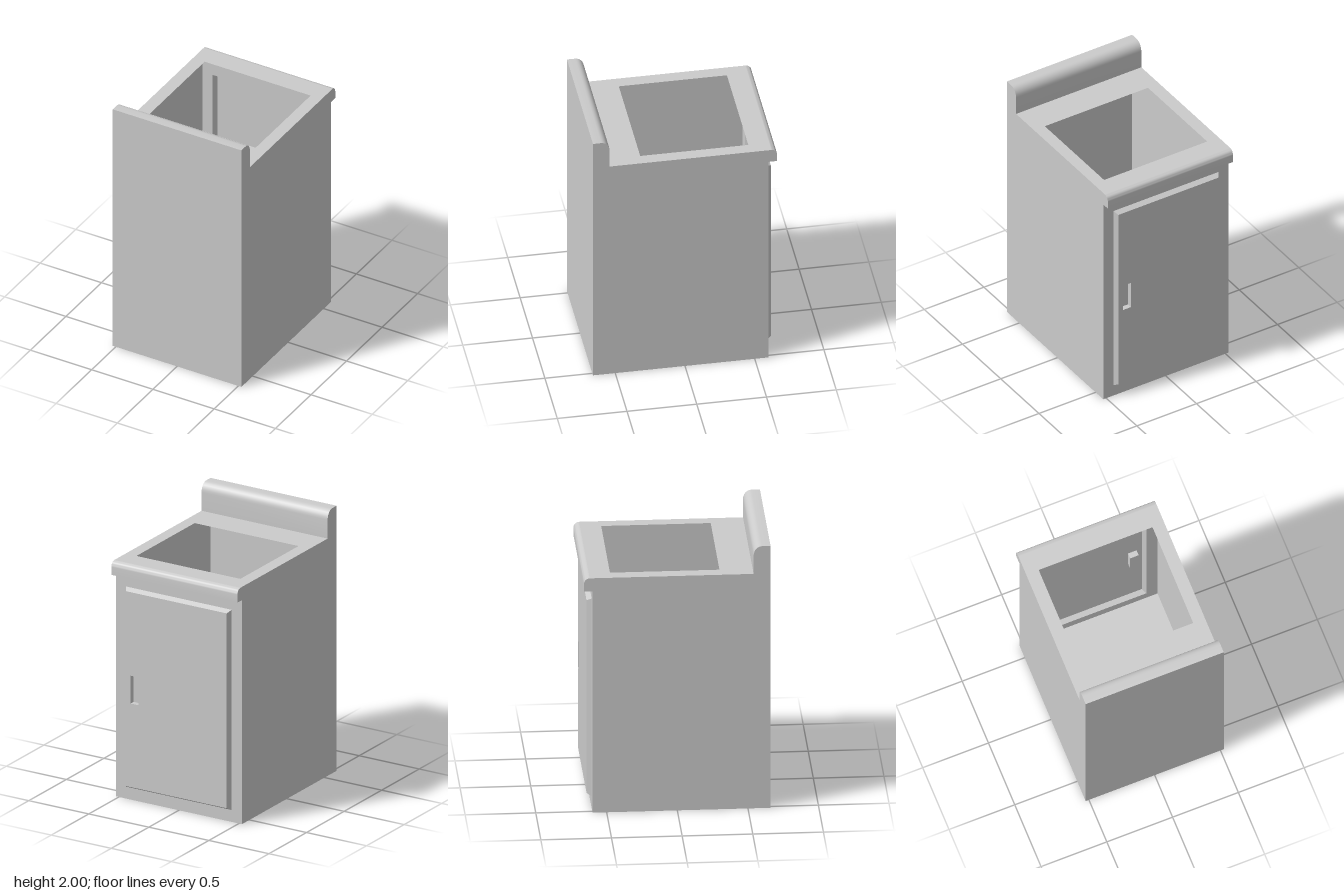
import * as THREE from 'three';
import { toCreasedNormals } from 'three/addons/utils/BufferGeometryUtils.js';

const W = 0.525; // half width

export function createModel() {
  const root = new THREE.Group();
  root.name = 'sinkCabinet';
  const mat = new THREE.MeshStandardMaterial({ color: 0xcccccc, side: THREE.DoubleSide });

  const add = (name, geo, parent = root) => {
    const mesh = new THREE.Mesh(geo, mat);
    mesh.name = name;
    parent.add(mesh);
    return mesh;
  };

  // Skin of quads between two matching rows of points
  const loft = (rowA, rowB) => {
    const pos = [];
    for (let i = 0; i < rowA.length - 1; i++) {
      const [a, b, c, d] = [rowA[i], rowA[i + 1], rowB[i + 1], rowB[i]];
      pos.push(...a, ...b, ...c, ...a, ...c, ...d);
    }
    const geo = new THREE.BufferGeometry();
    geo.setAttribute('position', new THREE.Float32BufferAttribute(pos, 3));
    return toCreasedNormals(geo, 0.6);
  };

  // Sheet swept across the width along a (z, y) path
  const sweep = (pts) => loft(pts.map(([z, y]) => [W, y, z]), pts.map(([z, y]) => [-W, y, z]));

  // Rectangles are [x0, x1, y0, y1]
  const corners = ([x0, x1, y0, y1]) => [[x0, y0], [x1, y0], [x1, y1], [x0, y1]];
  const ring = (r, z) => [...corners(r), corners(r)[0]].map(([x, y]) => [x, y, z]);
  const sleeve = (ra, za, rb, zb) => loft(ring(ra, za), ring(rb, zb));
  const panel = (rect, hole) => {
    const toPoints = (r) => corners(r).map(([x, y]) => new THREE.Vector2(x, y));
    const shape = new THREE.Shape(toPoints(rect));
    if (hole) shape.holes.push(new THREE.Path(toPoints(hole).reverse()));
    return new THREE.ShapeGeometry(shape);
  };

  // Rounded corner as a quarter ellipse in (z, y)
  const arc = (cz, cy, rz, ry, from) =>
    Array.from({ length: 7 }, (_, i) => {
      const t = from + (i / 6) * (Math.PI / 2);
      return [cz + rz * Math.cos(t), cy + ry * Math.sin(t)];
    });

  // Side outline, split into the swept stretches
  const base = [[-0.6, 0], [0.66, 0], [0.66, 2]];
  const splash = [[0.66, 2], ...arc(0.6, 1.93, 0.06, 0.07, Math.PI / 2), [0.54, 1.79]];
  const nose = [...arc(-0.62, 1.75, 0.04, 0.04, Math.PI / 2), [-0.66, 1.69], [-0.6, 1.69]];

  add('floorAndRearWall', sweep(base));
  add('splashback', sweep(splash));
  add('worktopNose', sweep(nose));

  // Side walls
  const outline = new THREE.Shape([...base, ...splash.slice(1), ...nose].map(([z, y]) => new THREE.Vector2(z, y)));
  const sideGeo = new THREE.ShapeGeometry(outline).rotateY(-Math.PI / 2).translate(-W, 0, 0);
  add('rightSide', sideGeo);
  add('leftSide', sideGeo).scale.x = -1;

  // Worktop with the basin opening
  add('worktop', panel([-W, W, -0.54, 0.62], [-0.43, 0.435, -0.305, 0.47])
    .rotateX(-Math.PI / 2).translate(0, 1.79, 0));

  // Door side, built facing +z and turned round
  const face = new THREE.Group();
  face.name = 'doorSide';
  face.position.z = -0.6;
  face.rotation.y = Math.PI;
  root.add(face);

  const doorOuter = [-0.44, 0.44, 0.09, 1.6];
  const doorInner = [-0.42, 0.42, 0.11, 1.58];
  const grip = [-0.38, -0.315, 0.74, 0.95];
  add('doorFrame', panel([-W, W, 0, 1.69], doorOuter), face);
  add('doorBevel', sleeve(doorOuter, 0, doorInner, 0.035), face);
  add('doorPanel', panel(doorInner, grip).translate(0, 0, 0.035), face);

  // Recessed grip
  add('gripWalls', sleeve(grip, 0.035, grip, -0.005), face);
  add('gripBack', panel(grip).translate(0, 0, -0.005), face);

  return root;
}
